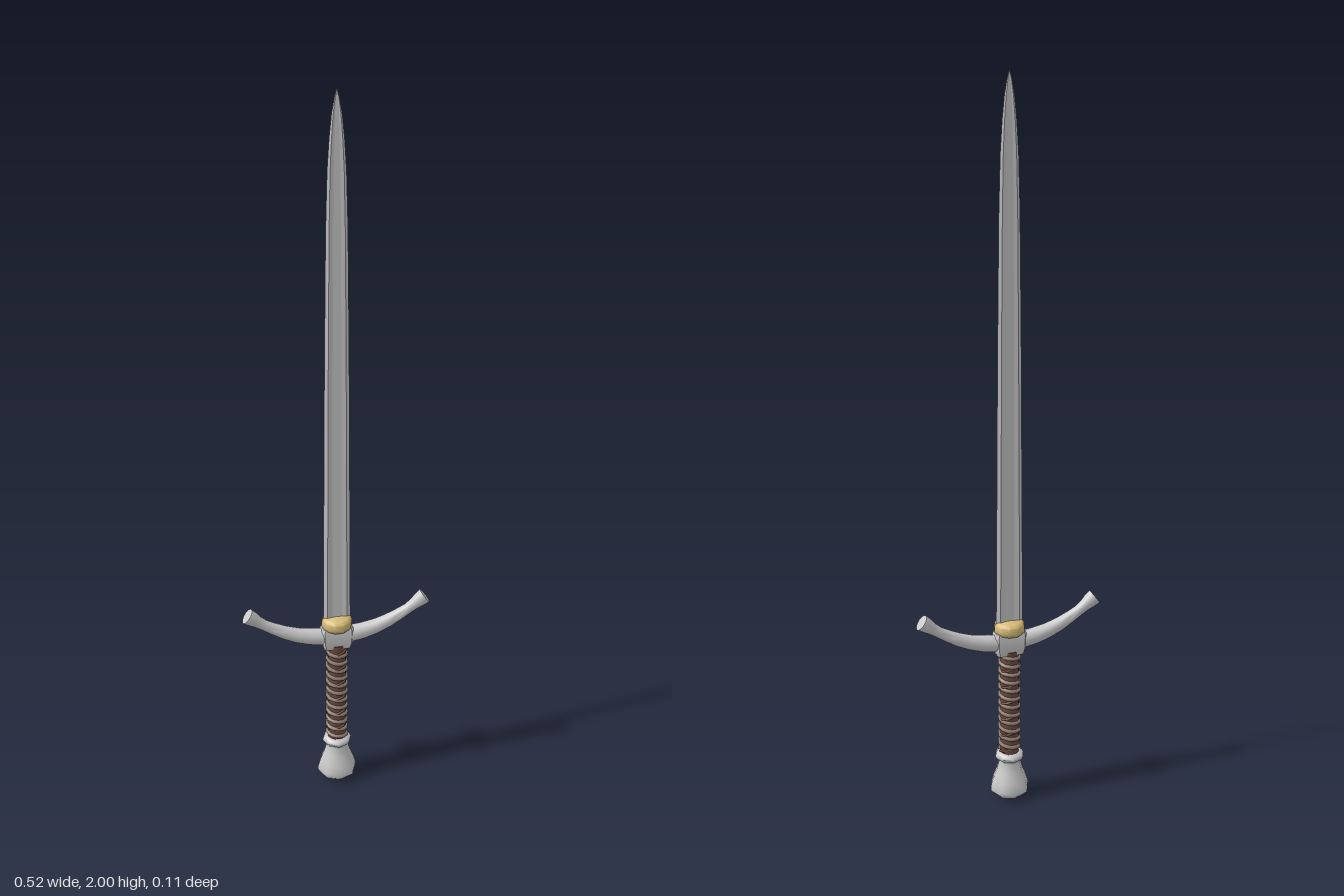
import * as THREE from 'three';
import { toCreasedNormals } from 'three/addons/utils/BufferGeometryUtils.js';

const steel = new THREE.MeshStandardMaterial({ color: 0xcccccc });
const gold = new THREE.MeshStandardMaterial({ color: 0xd8bc78 });
const cord = new THREE.MeshStandardMaterial({ color: 0x8f8078 });
const leather = new THREE.MeshStandardMaterial({ color: 0x6e4a3c });

// Skin equal-sized rings of Vector3 (counter-clockwise about the path) and cap both ends.
function loft(rings, crease) {
  const n = rings[0].length, last = rings.length - 1;
  const pos = [], index = [];
  rings.forEach(r => r.forEach(p => pos.push(p.x, p.y, p.z)));
  for (let i = 0; i < last; i++) {
    for (let j = 0; j < n; j++) {
      const a = i * n + j, b = i * n + (j + 1) % n;
      index.push(a, b, a + n, b, b + n, a + n);
    }
  }
  [0, last].forEach(i => {
    const c = new THREE.Vector3();
    rings[i].forEach(p => c.addScaledVector(p, 1 / n));
    const k = pos.length / 3;
    pos.push(c.x, c.y, c.z);
    for (let j = 0; j < n; j++) {
      const a = i * n + j, b = i * n + (j + 1) % n;
      if (i === 0) index.push(k, b, a);
      else index.push(k, a, b);
    }
  });
  const g = new THREE.BufferGeometry();
  g.setAttribute('position', new THREE.Float32BufferAttribute(pos, 3));
  g.setIndex(index);
  return toCreasedNormals(g, crease);
}

function lathe(profile, sides, crease) {
  const g = new THREE.LatheGeometry(profile.map(([r, y]) => new THREE.Vector2(r, y)), sides);
  return toCreasedNormals(g, crease);
}

// Tube wound around the grip
function helix(turns, radius, thickness, hand) {
  const pts = [], steps = turns * 12;
  for (let i = 0; i <= steps; i++) {
    const a = hand * i / 12 * Math.PI * 2;
    pts.push(new THREE.Vector3(Math.cos(a) * radius, 0.145 + 0.295 * i / steps, Math.sin(a) * radius));
  }
  return new THREE.TubeGeometry(new THREE.CatmullRomCurve3(pts), steps, thickness, 6);
}

export function createModel() {
  const sword = new THREE.Group();
  sword.name = 'sword';
  const add = (name, geometry, material) => {
    const m = new THREE.Mesh(geometry, material);
    m.name = name;
    sword.add(m);
    return m;
  };

  // Blade: bevelled edges and a shallow fuller, [y, half width, half thickness]
  const section = [[1, 0], [0.72, -1], [0.35, -0.65], [-0.35, -0.65], [-0.72, -1],
    [-1, 0], [-0.72, 1], [-0.35, 0.65], [0.35, 0.65], [0.72, 1]];
  const stations = [[0.5, 0.038, 0.006], [0.9, 0.035, 0.0055], [1.3, 0.032, 0.005], [1.65, 0.028, 0.0045],
    [1.8, 0.024, 0.004], [1.88, 0.019, 0.0035], [1.94, 0.013, 0.003], [1.98, 0.006, 0.002], [2, 0.0005, 0.0005]];
  add('blade', loft(stations.map(([y, w, t]) =>
    section.map(([x, z]) => new THREE.Vector3(x * w, y, z * t))), 0.12), steel);

  // Collar where the blade meets the guard
  add('collar', lathe([[0, 0.5], [0.036, 0.502], [0.042, 0.51], [0.043, 0.52],
    [0.041, 0.53], [0.034, 0.537], [0, 0.539]], 10, 0.75), gold).rotation.y = Math.PI / 2;

  // Crossguard: upswept arms with flared ends, half of them listed as [x, y, radius]
  const half = [[0.04, 0.477, 0.0225], [0.075, 0.482, 0.0215], [0.11, 0.491, 0.0195], [0.145, 0.505, 0.0175],
    [0.175, 0.521, 0.0155], [0.2, 0.536, 0.014], [0.218, 0.549, 0.0155], [0.232, 0.56, 0.019], [0.247, 0.571, 0.021]];
  const path = [...half.map(([x, y, r]) => [-x, y, r]).reverse(), [0, 0.475, 0.0225], ...half];
  add('crossguard', loft(path.map(([x, y, r], i) => {
    const p = path[Math.max(i - 1, 0)], q = path[Math.min(i + 1, path.length - 1)];
    const t = new THREE.Vector2(q[0] - p[0], q[1] - p[1]).normalize();
    return Array.from({ length: 12 }, (_, j) => {
      const a = j / 12 * Math.PI * 2, c = Math.cos(a) * r * 1.08;
      return new THREE.Vector3(x - t.y * c, y + t.x * c, Math.sin(a) * r * 0.96);
    });
  }), 0.8), steel);

  // Guard block, slightly narrower at the bottom
  const block = [[0.442, 0.038, 0.021], [0.46, 0.043, 0.023], [0.5, 0.044, 0.023], [0.508, 0.041, 0.021]];
  const corners = [[1, 0.6], [1, -0.6], [0.85, -1], [-0.85, -1], [-1, -0.6], [-1, 0.6], [-0.85, 1], [0.85, 1]];
  add('guardBlock', loft(block.map(([y, w, d]) =>
    corners.map(([x, z]) => new THREE.Vector3(x * w, y, z * d))), 0.5), steel);

  // Grip core with cord windings
  const core = add('gripCore', new THREE.CylinderGeometry(0.026, 0.026, 0.32, 14), leather);
  core.position.y = 0.292;
  add('gripCord', helix(12, 0.0265, 0.006, 1), cord);
  add('gripCrossCord', helix(6, 0.027, 0.0035, -1), leather);

  // Pommel: faceted bell with a rolled neck
  add('pommel', lathe([[0, 0], [0.022, 0.002], [0.042, 0.01], [0.054, 0.022], [0.055, 0.034], [0.049, 0.056],
    [0.038, 0.084], [0.031, 0.108], [0.031, 0.116], [0.038, 0.121], [0.041, 0.129], [0.037, 0.137],
    [0.027, 0.141], [0, 0.141]], 8, 0.9), steel);

  return sword;
}
